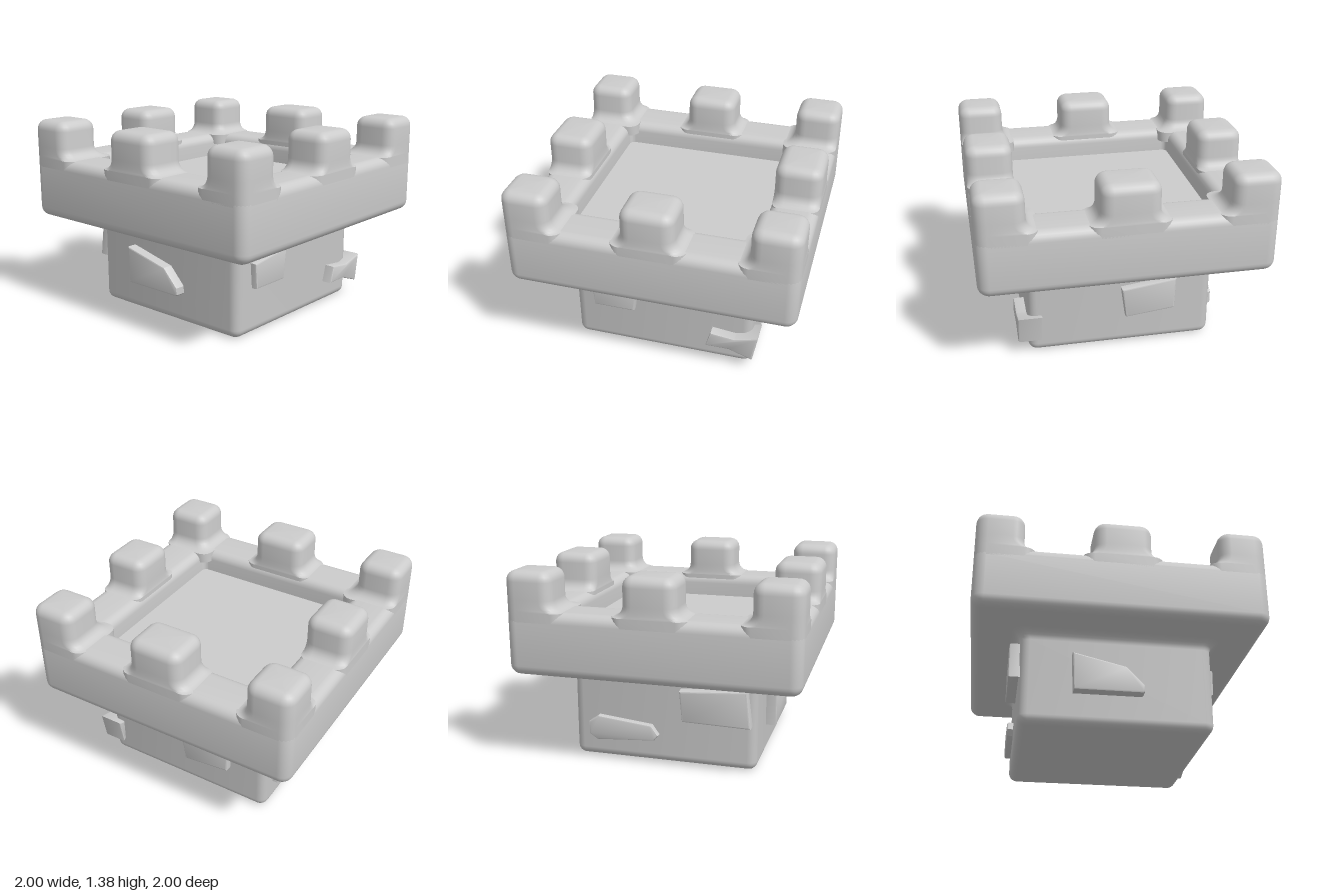
import * as THREE from 'three';
import { toCreasedNormals } from 'three/addons/utils/BufferGeometryUtils.js';

const material = new THREE.MeshStandardMaterial({ color: 0xcccccc });

function addMesh(parent, geometry, name, crease = 0.6) {
  const mesh = new THREE.Mesh(toCreasedNormals(geometry, crease), material);
  mesh.name = name;
  parent.add(mesh);
  return mesh;
}

// Stacks rounded-rectangle sections { y, x0, x1, z0, z1, r } and caps both ends
function loft(sections, steps = 5) {
  const pos = [], idx = [], n = 4 * (steps + 1);
  for (const { y, x0, x1, z0, z1, r } of sections) {
    const corners = [[x1 - r, z1 - r], [x0 + r, z1 - r], [x0 + r, z0 + r], [x1 - r, z0 + r]];
    corners.forEach(([cx, cz], k) => {
      for (let i = 0; i <= steps; i++) {
        const a = (k + i / steps) * Math.PI / 2;
        pos.push(cx + r * Math.cos(a), y, cz + r * Math.sin(a));
      }
    });
  }
  const last = (sections.length - 1) * n;
  const bottom = pos.length / 3, top = bottom + 1;
  for (const s of [sections[0], sections.at(-1)]) pos.push((s.x0 + s.x1) / 2, s.y, (s.z0 + s.z1) / 2);
  for (let j = 0; j < n; j++) {
    const k = (j + 1) % n;
    for (let i = 0; i < last; i += n) idx.push(i + j, i + n + j, i + n + k, i + j, i + n + k, i + k);
    idx.push(bottom, j, k, top, last + k, last + j);
  }
  const g = new THREE.BufferGeometry();
  g.setAttribute('position', new THREE.Float32BufferAttribute(pos, 3));
  g.setIndex(idx);
  return g;
}

// Quarter turn sampled as angles
const quarter = (n = 6) => Array.from({ length: n + 1 }, (_, i) => (i / n) * Math.PI / 2);

function roundedSquare(path, h, r) {
  path.moveTo(h, -h + r);
  path.lineTo(h, h - r).absarc(h - r, h - r, r, 0, Math.PI / 2);
  path.lineTo(-h + r, h).absarc(-h + r, h - r, r, Math.PI / 2, Math.PI);
  path.lineTo(-h, -h + r).absarc(-h + r, -h + r, r, Math.PI, 1.5 * Math.PI);
  path.lineTo(h - r, -h).absarc(h - r, -h + r, r, 1.5 * Math.PI, 2 * Math.PI);
  return path;
}

// Tower base: rounded foot, straight wall, cove under the parapet, capped by the floor
function baseGeometry() {
  const square = (y, h, r) => ({ y, x0: -h, x1: h, z0: -h, z1: h, r });
  const foot = 0.06, cove = 0.07, half = 0.66;
  return loft([
    ...quarter().map(a => square(foot * (1 - Math.cos(a)), half - foot * (1 - Math.sin(a)), 0.065 - foot * (1 - Math.sin(a)))),
    ...quarter().map(a => square(0.6 + cove * Math.sin(a), half + cove * (1 - Math.cos(a)), 0.065)),
    square(0.94, half + cove, 0.065),
  ]);
}

// Square parapet ring with rounded rims
function parapetGeometry() {
  const b = 0.07, y0 = 0.665, y1 = 1.11;
  const shape = roundedSquare(new THREE.Shape(), 1, 0.08);
  shape.holes.push(roundedSquare(new THREE.Path(), 0.66, 0.04));
  const g = new THREE.ExtrudeGeometry(shape, {
    depth: y1 - y0 - 2 * b, bevelThickness: b, bevelSize: b, bevelOffset: -b, bevelSegments: 6, curveSegments: 5,
  });
  return g.rotateX(-Math.PI / 2).translate(0, y0 + b, 0);
}

// Merlon with rounded top; flare = which sides [x0, x1, z0, z1] sweep out into the notches
function merlonGeometry([x0, x1], [z0, z1], flare) {
  const r = 0.08, t = 0.07, top = 1.38;
  const section = (y, f, inset) => ({
    y, r: r - inset,
    x0: x0 - f * flare[0] + inset, x1: x1 + f * flare[1] - inset,
    z0: z0 - f * flare[2] + inset, z1: z1 + f * flare[3] - inset,
  });
  return loft([
    section(1.03, r, 0),
    ...quarter().map(a => section(1.108 + r * (1 - Math.cos(a)), r * (1 - Math.sin(a)), 0)),
    ...quarter().map(a => section(top - t + t * Math.sin(a), 0, t * (1 - Math.cos(a)))),
  ]);
}

// Flat stone set into a wall; points are [across, height] seen facing that wall
function addStone(parent, name, turn, near, far, points) {
  const b = 0.012;
  const shape = new THREE.Shape(points.map(p => new THREE.Vector2(...p)));
  const g = new THREE.ExtrudeGeometry(shape, {
    depth: far - near - 2 * b, bevelThickness: b, bevelSize: b, bevelOffset: -b, bevelSegments: 2,
  });
  g.translate(0, 0, near + b).rotateY(turn * Math.PI / 2);
  addMesh(parent, g, name, 0.5);
}

export function createModel() {
  const tower = new THREE.Group();
  tower.name = 'castleTower';
  addMesh(tower, baseGeometry(), 'towerBase');
  addMesh(tower, parapetGeometry(), 'parapet');

  // Corner and middle merlons
  const merlons = new THREE.Group();
  merlons.name = 'merlons';
  tower.add(merlons);
  const span = (s, mid) => (s ? (s > 0 ? [0.67, 1] : [-1, -0.67]) : [-mid, mid]);
  for (const i of [-1, 0, 1]) for (const j of [-1, 0, 1]) {
    if (!i && !j) continue;
    // sides facing a notch along the wall, not the courtyard
    const alongX = j !== 0, alongZ = i !== 0;
    const flare = [alongX && i >= 0, alongX && i <= 0, alongZ && j >= 0, alongZ && j <= 0].map(Number);
    addMesh(merlons, merlonGeometry(span(i, 0.2), span(j, 0.185), flare), i && j ? 'cornerMerlon' : 'middleMerlon');
  }

  // Protruding wall stones
  const stones = new THREE.Group();
  stones.name = 'wallStones';
  tower.add(stones);
  addStone(stones, 'frontStone', 0, 0.6, 0.735,
    [[-0.3, 0.22], [0.165, 0.22], [0.175, 0.23], [0.175, 0.28], [0.055, 0.405], [-0.31, 0.49]]);
  addStone(stones, 'leftStone', 1, 0.6, 0.705,
    [[-0.5, 0.335], [-0.2, 0.335], [-0.17, 0.56], [-0.515, 0.515]]);
  addStone(stones, 'leftCornerStone', 1, 0.56, 0.735,
    [[0.34, 0.165], [0.51, 0.165], [0.68, 0.105], [0.715, 0.31], [0.55, 0.265], [0.375, 0.285]]);
  addStone(stones, 'backStone', 2, 0.6, 0.715,
    [[0.03, 0.24], [0.38, 0.28], [0.39, 0.515], [0, 0.465]]);
  addStone(stones, 'rightLowerStone', 3, 0.6, 0.705,
    [[-0.54, 0.18], [-0.48, 0.14], [-0.06, 0.17], [-0.03, 0.21], [-0.08, 0.28], [-0.47, 0.32], [-0.54, 0.27]]);
  addStone(stones, 'rightUpperStone', 3, 0.6, 0.73,
    [[0.15, 0.34], [0.63, 0.33], [0.6, 0.59], [0.13, 0.56]]);
  return tower;
}
